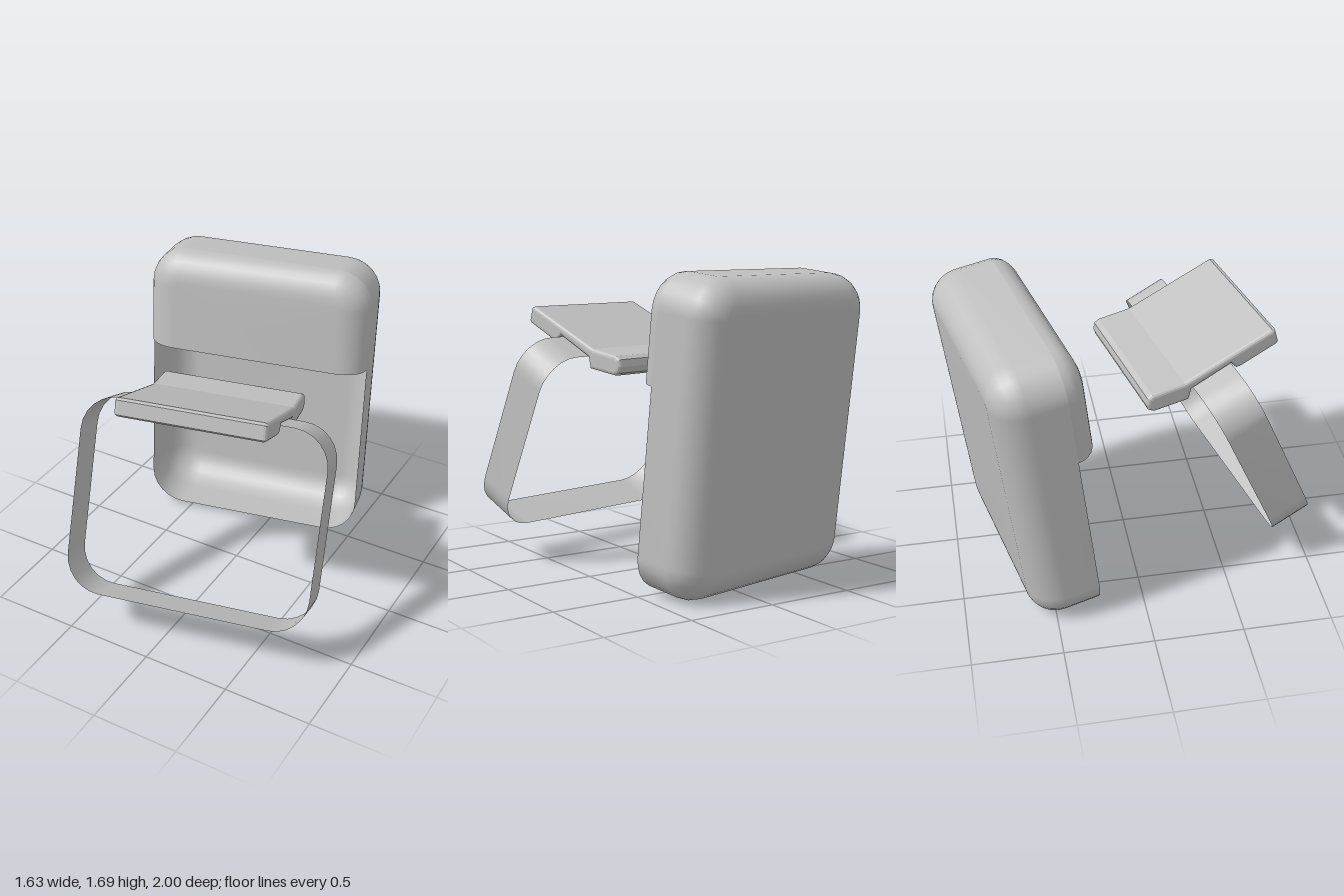
import * as THREE from 'three';

const rad = THREE.MathUtils.degToRad;
const grey = new THREE.MeshStandardMaterial({ color: 0xc0c0c0, side: THREE.DoubleSide });
grey.name = 'light grey';

// Rounded rectangle, counterclockwise from the lower right; corners lists which to include
function outline(halfW, y0, y1, r, corners, inset = 0, steps = 6) {
  const w = halfW - inset, lo = y0 + inset, hi = y1 - inset;
  const c = Math.max(r - inset, 0.02);
  const pts = [];
  for (const k of corners) {
    const sx = k === 0 || k === 3 ? 1 : -1;   // 0 top right, 1 top left, 2 bottom left, 3 bottom right
    const cy = k < 2 ? hi - c : lo + c;
    for (let i = 0; i <= steps; i++) {
      const a = (k + i / steps) * Math.PI / 2;
      pts.push([sx * (w - c) + c * Math.cos(a), cy + c * Math.sin(a)]);
    }
  }
  return pts;
}

// Skin a stack of rings { pts, z }, optionally closing the first or last with a cap
function loft(rings, { closed = true, backCap = false, frontCap = false }) {
  const pos = [], idx = [];
  const n = rings[0].pts.length;
  rings.forEach(({ pts, z }) => pts.forEach(([x, y]) => pos.push(x, y, z)));
  for (let k = 0; k < rings.length - 1; k++) {
    for (let i = 0; i < (closed ? n : n - 1); i++) {
      const j = (i + 1) % n;
      const a = k * n + i, b = k * n + j, c = b + n, d = a + n;
      idx.push(a, b, c, a, c, d);
    }
  }
  const cap = (k, back) => {
    const { pts, z } = rings[k];
    const ys = pts.map(p => p[1]);
    const centre = pos.length / 3;
    pos.push(0, (Math.min(...ys) + Math.max(...ys)) / 2, z);
    for (let i = 0; i < n; i++) {
      const a = k * n + i, b = k * n + (i + 1) % n;
      idx.push(centre, ...(back ? [b, a] : [a, b]));
    }
  };
  if (backCap) cap(0, true);
  if (frontCap) cap(rings.length - 1, false);
  const g = new THREE.BufferGeometry();
  g.setAttribute('position', new THREE.Float32BufferAttribute(pos, 3));
  g.setIndex(idx);
  g.computeVertexNormals();
  return g;
}

function add(parent, name, geometry) {
  const mesh = new THREE.Mesh(geometry, grey);
  mesh.name = name;
  parent.add(mesh);
  return mesh;
}

// Hollow shell: a full tray below and a deeper rounded hood above
function buildShell() {
  const W = 0.648, H = 1.683, R = 0.2, fillet = 0.17;
  const rim = 0.37, front = 0.495, cut = 1.105, steps = 6;
  const shell = new THREE.Group();
  shell.name = 'shell';

  const tray = [];
  for (let i = 0; i <= steps; i++) {
    const a = i / steps * Math.PI / 2;
    tray.push({ pts: outline(W, 0, H, R, [3, 0, 1, 2], fillet * (1 - Math.sin(a))), z: fillet * (1 - Math.cos(a)) });
  }
  tray.push({ pts: outline(W, 0, H, R, [3, 0, 1, 2]), z: rim });
  add(shell, 'tray', loft(tray, { backCap: true }));

  const hood = [];
  for (let i = 0; i <= steps; i++) {
    const a = i / steps * Math.PI / 2;
    const inset = fillet * (1 - Math.cos(a));
    const arc = outline(W, 0, H, R, [0, 1], inset);
    hood.push({
      pts: [[W - inset, cut], ...arc, [inset - W, cut]],
      z: rim + (front - rim) * Math.sin(a),
    });
  }
  add(shell, 'hood', loft(hood, { closed: false, frontCap: true }));

  shell.position.set(-0.03, -0.015, -0.757);
  shell.rotation.x = rad(-6.5);
  return shell;
}

// Thin rounded loop hanging below the plate
function buildBand() {
  const pts = outline(0.68, -0.547, 0.547, 0.2, [3, 0, 1, 2]);
  const band = new THREE.Mesh(loft([{ pts, z: -0.12 }, { pts, z: 0.12 }], {}), grey);
  band.name = 'band';
  band.position.set(-0.025, 0.76, 0.567);
  band.rotation.x = rad(-24);
  return band;
}

// Sloping plate with a thick front lip and a flatter rear bar
function buildPlate() {
  const profile = [
    [0.685, 1.47], [0.705, 1.465], [0.727, 1.39], [0.718, 1.375], [0.52, 1.287], [0.485, 1.278],
    [0.45, 1.315], [0.225, 1.21], [0.21, 1.145], [0.01, 1.12], [-0.022, 1.135],
    [-0.035, 1.17], [-0.028, 1.21], [0, 1.228], [0.185, 1.255],
  ].reverse();
  const shape = new THREE.Shape(profile.map(([z, y]) => new THREE.Vector2(z, y)));
  const bevel = 0.02, width = 0.81;
  const g = new THREE.ExtrudeGeometry(shape, {
    depth: width - 2 * bevel, bevelThickness: bevel, bevelSize: bevel, bevelOffset: -bevel, bevelSegments: 3,
  });
  g.translate(0, 0, bevel - width / 2);
  g.rotateY(-Math.PI / 2);
  const plate = new THREE.Mesh(g, grey);
  plate.name = 'plate';
  plate.position.x = -0.02;
  return plate;
}

export function createModel() {
  const model = new THREE.Group();
  model.name = 'model';
  const turned = new THREE.Group();
  turned.name = 'assembly';
  turned.rotation.y = rad(12);
  turned.add(buildShell(), buildBand(), buildPlate());
  model.add(turned);
  return model;
}
